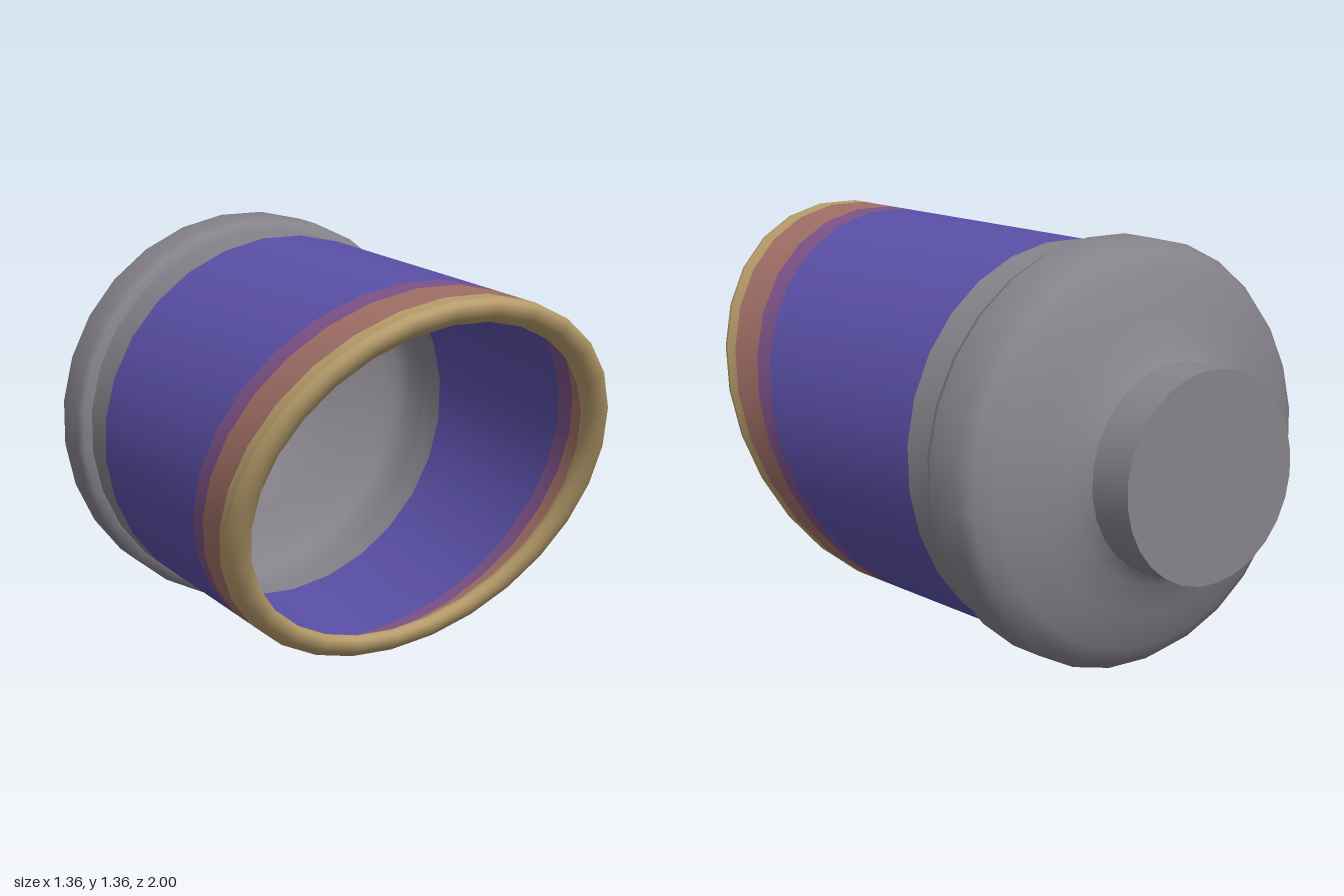
import * as THREE from 'three';
import { mergeVertices } from 'three/addons/utils/BufferGeometryUtils.js';

const SIDES = 28;
const CENTRE_Y = 0.685;
const BASE_Z = -0.465; // where the slanted sleeve meets the round collar
const TIP_Z = 0.655; // sleeve end along the axis
const WALL = 0.645;

function material(name, color) {
  const m = new THREE.MeshStandardMaterial({ color, side: THREE.DoubleSide });
  m.name = name;
  return m;
}

// Revolve [radius, z] points about the z axis, leaning the front into a slash cut
function revolve(points) {
  const lathe = new THREE.LatheGeometry(
    points.map(([r, z]) => new THREE.Vector2(r, z)), SIDES, Math.PI / SIDES);
  lathe.rotateX(Math.PI / 2);
  lathe.deleteAttribute('normal');
  lathe.deleteAttribute('uv');
  const p = lathe.attributes.position;
  for (let i = 0; i < p.count; i++) {
    const z = p.getZ(i);
    const t = THREE.MathUtils.clamp((z - BASE_Z) / (TIP_Z - BASE_Z), 0, 1);
    p.setZ(i, z + 0.5 * t * p.getY(i));
  }
  const geometry = mergeVertices(lathe, 1e-4);
  geometry.computeVertexNormals();
  return geometry;
}

export function createModel() {
  const group = new THREE.Group();
  group.name = 'exhaustTip';
  const steel = material('steel grey', 0x87838b);
  const violet = material('heat violet', 0x5b50a8);
  const plum = material('heat plum', 0x7d5288);
  const copper = material('heat copper', 0xa06f66);
  const gold = material('heat gold', 0xb89d6c);

  function add(name, geometry, mat) {
    const mesh = new THREE.Mesh(geometry, mat);
    mesh.name = name;
    mesh.position.y = CENTRE_Y;
    group.add(mesh);
  }

  // Sleeve in heat-tinted bands, each more slanted towards the tip
  const bands = [
    ['steelBand', BASE_Z, -0.34, steel],
    ['violetBand', -0.34, 0.407, violet],
    ['plumBand', 0.407, 0.48, plum],
    ['copperBand', 0.48, 0.608, copper],
    ['goldBand', 0.608, TIP_Z, gold],
  ];
  for (const [name, z0, z1, mat] of bands) {
    add(name, revolve([[WALL, z0], [WALL, z1]]), mat);
  }

  // Lip rolled inwards at the tip
  const lip = [];
  for (let i = 0; i <= 12; i++) {
    const a = (i / 12) * Math.PI * 1.5;
    lip.push([0.605 + 0.04 * Math.cos(a), TIP_Z + 0.04 * Math.sin(a)]);
  }
  add('rolledLip', revolve(lip), gold);

  // Bulging collar narrowing to the inlet
  add('collar', revolve([
    [0.333, -0.842], [0.375, -0.805], [0.48, -0.765], [0.6, -0.72], [0.655, -0.675],
    [0.683, -0.63], [0.683, -0.505], [0.672, -0.477], [WALL, BASE_Z],
  ]), steel);

  // Inlet pipe and its closed end
  add('inletPipe', revolve([[0.333, -1], [0.333, -0.842]]), steel);
  const cap = new THREE.CircleGeometry(0.333, SIDES, Math.PI / SIDES);
  cap.rotateY(Math.PI);
  cap.translate(0, 0, -1);
  add('inletCap', cap, steel);

  return group;
}
